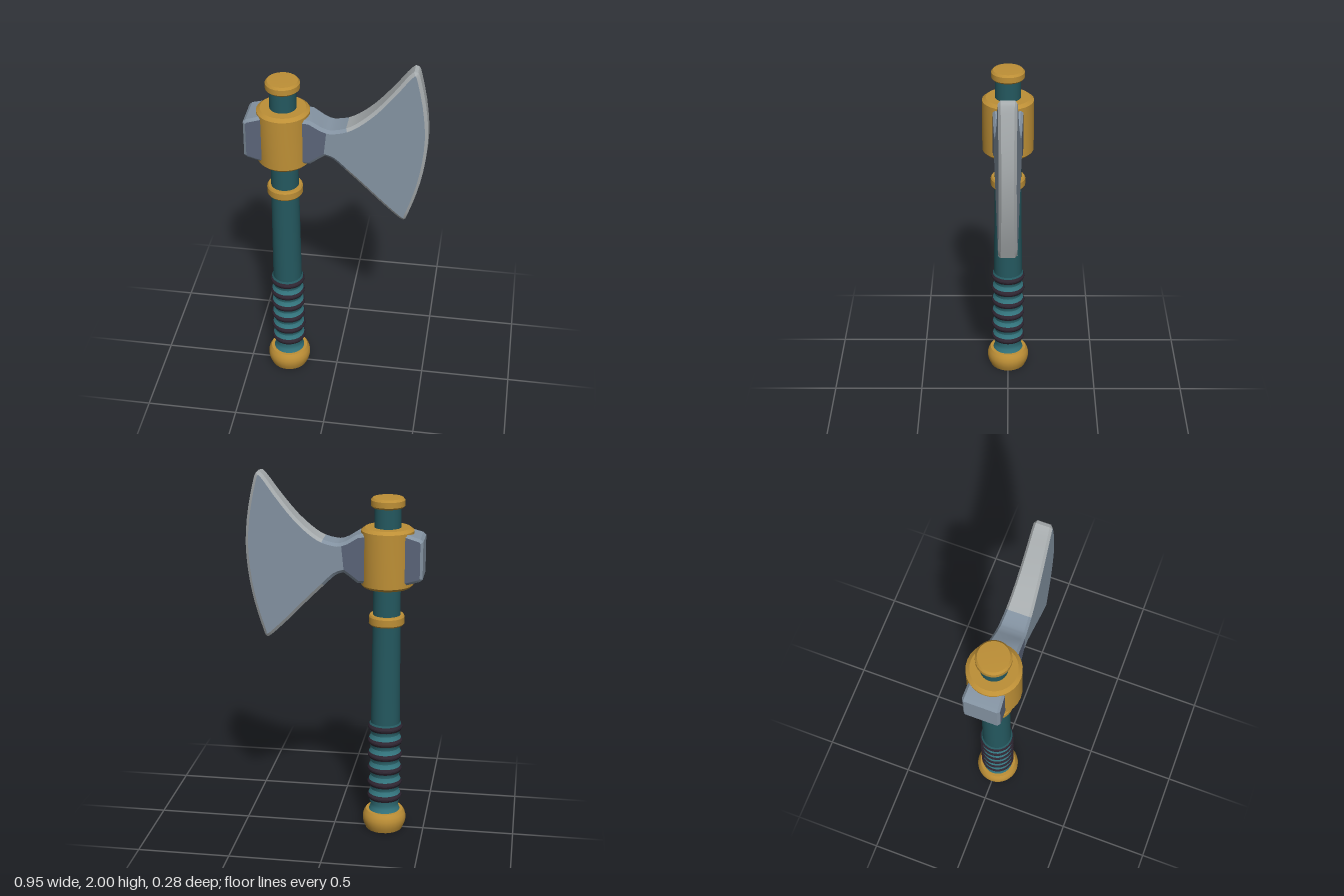
import * as THREE from 'three';
import { toCreasedNormals } from 'three/addons/utils/BufferGeometryUtils.js';

const AXIS = -0.28; // x of the handle's centre line
const V = (x, y) => new THREE.Vector2(x, y);
const material = (name, color) => {
  const m = new THREE.MeshStandardMaterial({ color });
  m.name = name;
  return m;
};

// Half thickness of the head: a straight wedge from poll to cutting edge
const halfZ = (x) => 0.072 - 0.06 * x;

// Move a counter-clockwise outline inwards by d
function inset(pts, d) {
  const n = pts.length;
  return pts.map((p, i) => {
    const a = p.clone().sub(pts[(i + n - 1) % n]).normalize();
    const b = pts[(i + 1) % n].clone().sub(p).normalize();
    const m = V(-a.y - b.y, a.x + b.x).normalize();
    const k = Math.max(0.6, m.dot(V(-a.y, a.x)));
    return p.clone().addScaledVector(m, d / k);
  });
}

export function createModel() {
  const root = new THREE.Group();
  root.name = 'axe';
  const gold = material('gold', 0xbd8f36);
  const teal = material('dark teal', 0x24585f);
  const grip = material('light teal', 0x34767f);
  const wrap = material('dark wrap', 0x2f2632);
  const steel = material('steel', 0x8493a2);
  const edge = material('pale edge', 0xa8adaf);
  const slate = material('slate', 0x5b6579);

  const add = (name, geometry, mat) => {
    const mesh = new THREE.Mesh(geometry, mat);
    mesh.name = name;
    root.add(mesh);
    return mesh;
  };

  // Turned parts, profile as [radius, y] from bottom to top
  const turned = (name, profile, mat) => {
    const g = new THREE.LatheGeometry(profile.map(([r, y]) => V(r, y)), 28);
    add(name, toCreasedNormals(g, 0.45), mat).position.x = AXIS;
  };

  turned('pommel', [[0, 0], [0.103, 0], [0.114, 0.025], [0.12, 0.05], [0.12, 0.07],
    [0.114, 0.092], [0.103, 0.11], [0, 0.11]], gold);
  turned('shaft', [[0.08, 0.6], [0.078, 0.85], [0.075, 1.2], [0.072, 1.5], [0.07, 1.84]], teal);
  turned('lowerRing', [[0.07, 1.19], [0.09, 1.19], [0.096, 1.198], [0.096, 1.235],
    [0.09, 1.245], [0.07, 1.245]], gold);
  turned('collar', [[0.06, 1.4], [0.125, 1.4], [0.14, 1.415], [0.14, 1.705],
    [0.12, 1.72], [0.06, 1.72]], gold);
  turned('topCap', [[0, 1.825], [0.08, 1.825], [0.09, 1.835], [0.09, 1.865],
    [0.08, 1.877], [0, 1.88]], gold);

  // Scalloped grip with a dark band on each ridge
  turned('gripBase', [[0.088, 0.105], [0.078, 0.13], [0.078, 0.15], [0.088, 0.18]], grip);
  for (let i = 0; i < 6; i++) {
    const y = 0.195 + i * 0.082;
    turned('gripBand', [[0.088, y - 0.017], [0.095, y - 0.004], [0.095, y + 0.004],
      [0.088, y + 0.017]], wrap);
    if (i < 5) {
      turned('gripScallop', [[0.088, y + 0.017], [0.081, y + 0.029], [0.078, y + 0.041],
        [0.081, y + 0.053], [0.088, y + 0.065]], grip);
    }
  }
  turned('gripTop', [[0.088, 0.622], [0.08, 0.63]], teal);

  // Surfaces built from loose triangles
  const surface = (name, positions, mat) => {
    const g = new THREE.BufferGeometry();
    g.setAttribute('position', new THREE.Float32BufferAttribute(positions, 3));
    add(name, toCreasedNormals(g, 0.5), mat);
  };

  // Flat faces on both sides of the wedge
  const faces = (name, pts, mat) => {
    const out = [];
    for (const [a, b, c] of THREE.ShapeUtils.triangulateShape(pts, [])) {
      const ccw = pts[b].clone().sub(pts[a]).cross(pts[c].clone().sub(pts[a])) > 0;
      const front = ccw ? [a, b, c] : [a, c, b];
      for (const i of front) out.push(pts[i].x, pts[i].y, halfZ(pts[i].x));
      for (const i of front.slice().reverse()) out.push(pts[i].x, pts[i].y, -halfZ(pts[i].x));
    }
    surface(name, out, mat);
  };

  // Wall and two bevels around an outline, pale beyond the given x
  const rim = (name, outer, inner, paleFrom) => {
    const dull = [], pale = [];
    const bevel = 0.013;
    outer.forEach((p, i) => {
      const j = (i + 1) % outer.length;
      const section = (k) => {
        const o = outer[k], n = inner[k], h = halfZ(o.x) - bevel;
        return [[n.x, n.y, halfZ(n.x)], [o.x, o.y, h], [o.x, o.y, -h], [n.x, n.y, -halfZ(n.x)]];
      };
      const s = section(i), t = section(j);
      const list = (p.x + outer[j].x) / 2 > paleFrom ? pale : dull;
      for (let k = 0; k < 3; k++) {
        list.push(...s[k], ...s[k + 1], ...t[k + 1], ...s[k], ...t[k + 1], ...t[k]);
      }
    });
    surface(name, dull, steel);
    if (pale.length) surface(name + 'Pale', pale, edge);
  };

  // Poll block behind the collar
  const poll = [V(-0.28, 1.425), V(-0.39, 1.43), V(-0.46, 1.452), V(-0.475, 1.465),
    V(-0.475, 1.665), V(-0.46, 1.68), V(-0.39, 1.7), V(-0.28, 1.705)].reverse();
  const pollIn = inset(poll, 0.014);
  rim('pollRim', poll, pollIn, 9);
  faces('pollFace', pollIn, slate);

  // Blade outline, counter-clockwise: underside, cutting edge, top side
  const curve = (points, n) =>
    new THREE.SplineCurve(points.map(([x, y]) => V(x, y))).getPoints(n);
  const neckLow = [V(-0.28, 1.425), V(-0.13, 1.428), V(-0.085, 1.462)];
  const neckHigh = [V(-0.07, 1.652), V(-0.13, 1.69), V(-0.28, 1.705)];
  const under = curve([[-0.055, 1.482], [-0.01, 1.463], [0.05, 1.405], [0.14, 1.315],
    [0.25, 1.2], [0.335, 1.118], [0.363, 1.1]], 18);
  const cutting = curve([[0.375, 1.11], [0.425, 1.265], [0.46, 1.43], [0.475, 1.61],
    [0.46, 1.79], [0.425, 1.96], [0.41, 1.995]], 16);
  const upper = curve([[0.392, 2.0], [0.36, 1.967], [0.3, 1.885], [0.21, 1.775],
    [0.13, 1.7], [0.06, 1.655], [-0.01, 1.638], [-0.04, 1.64]], 18);
  const blade = [...neckLow, ...under, ...cutting, ...upper, ...neckHigh];
  const bladeIn = inset(blade, 0.016);
  const n = blade.length;
  rim('bladeRim', blade, bladeIn, 0.055);
  faces('neckFace', [...bladeIn.slice(0, 4), ...bladeIn.slice(n - 4)], slate);
  faces('bladeFace', bladeIn.slice(3, n - 3), steel);

  return root;
}
